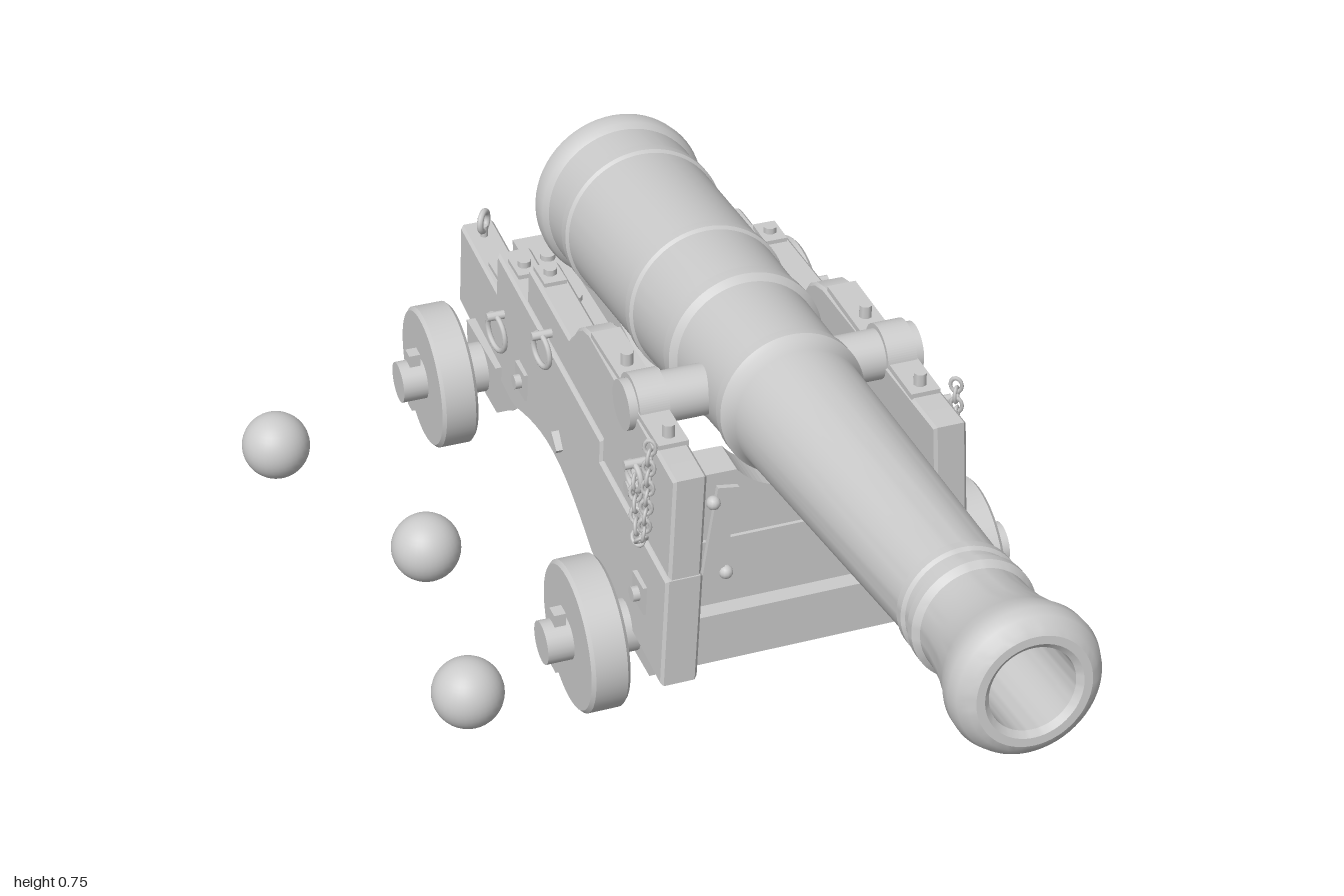
import * as THREE from 'three';
import { toCreasedNormals } from 'three/addons/utils/BufferGeometryUtils.js';

const grey = new THREE.MeshStandardMaterial({ color: 0xcccccc });
const V2 = (p) => new THREE.Vector2(p[0], p[1]);

function add(parent, name, geo, x = 0, y = 0, z = 0, rx = 0, ry = 0, rz = 0) {
  const m = new THREE.Mesh(geo, grey);
  m.name = name;
  m.position.set(x, y, z);
  m.rotation.set(rx, ry, rz);
  parent.add(m);
  return m;
}
const box = (w, h, d) => new THREE.BoxGeometry(w, h, d);
const rod = (r, len, n = 20) => new THREE.CylinderGeometry(r, r, len, n);
const rodX = (r, len, n) => rod(r, len, n).rotateZ(Math.PI / 2);
const ring = (r, t) => new THREE.TorusGeometry(r, t, 8, 24);
const lathe = (pts, n = 48) => toCreasedNormals(new THREE.LatheGeometry(pts.map(V2), n), 0.5);

// Inner face of a cheek: the pair converges to the rear and leans in at the top
const inner = (y, z) => 0.1895 + 0.0294 * z - 0.05 * (y - 0.35);
const outer = (y, z) => inner(y, z) + 0.062;

// Plank cut from a side outline in (z, y), then leaned and tapered
function cheek(side, outline, from, thick) {
  const shape = new THREE.Shape(outline.map(([z, y]) => new THREE.Vector2(-side * z, y)));
  const b = 0.005;
  const g = new THREE.ExtrudeGeometry(shape, {
    depth: thick - 2 * b, bevelThickness: b, bevelSize: b, bevelOffset: -b, bevelSegments: 1,
  });
  g.translate(0, 0, b + from).rotateY(side * Math.PI / 2);
  const p = g.attributes.position;
  for (let i = 0; i < p.count; i++) p.setX(i, p.getX(i) + side * inner(p.getY(i), p.getZ(i)));
  g.computeVertexNormals();
  return toCreasedNormals(g, 0.4);
}

function makeBarrel() {
  const gun = new THREE.Group();
  gun.name = 'barrel';
  // Breech, reinforces, chase, muzzle swell, then the bore
  const profile = [
    [0, -0.86], [0.03, -0.85], [0.032, -0.83], [0.055, -0.815], [0.095, -0.80], [0.125, -0.78], [0.138, -0.755],
    [0.15, -0.75], [0.152, -0.735], [0.148, -0.715], [0.14, -0.705], [0.139, -0.63], [0.143, -0.625], [0.143, -0.605],
    [0.138, -0.60], [0.134, -0.31], [0.138, -0.305], [0.138, -0.285], [0.133, -0.28], [0.129, -0.135],
    [0.133, -0.13], [0.133, -0.105], [0.122, -0.095], [0.117, 0.08], [0.122, 0.085], [0.122, 0.105], [0.115, 0.115],
    [0.110, 0.14], [0.089, 0.755], [0.095, 0.76], [0.095, 0.775], [0.090, 0.78], [0.090, 0.80],
    [0.097, 0.805], [0.097, 0.82], [0.088, 0.83], [0.089, 0.86], [0.095, 0.905], [0.106, 0.95], [0.115, 0.975],
    [0.116, 0.995], [0.110, 1.012], [0.097, 1.025], [0.088, 1.03], [0.075, 1.03], [0.066, 1.022], [0.065, 0.2], [0, 0.18],
  ];
  add(gun, 'gunTube', lathe(profile, 64).rotateX(Math.PI / 2));
  add(gun, 'trunnions', rodX(0.042, 0.5, 32));
  // Cascabel knob with the rope loop above it
  add(gun, 'cascabelNeck', rod(0.03, 0.08).rotateX(Math.PI / 2), 0, 0, -0.82);
  add(gun, 'cascabelKnob', new THREE.SphereGeometry(0.046, 32, 20), 0, -0.005, -0.868);
  add(gun, 'ropeLoop', new THREE.TorusGeometry(0.035, 0.013, 12, 32), 0, 0.058, -0.82, 0, Math.PI / 2);
  gun.position.set(0, 0.535, -0.035);
  gun.rotation.x = -0.108;
  return gun;
}

function makeAxle(z) {
  const axle = new THREE.Group();
  axle.name = 'axle';
  axle.position.set(0, 0.133, z);
  add(axle, 'axleTree', box(0.5, 0.094, 0.17));
  add(axle, 'axleArm', rodX(0.037, 0.81, 24));
  const wheel = lathe([[0.036, -0.033], [0.122, -0.033], [0.128, -0.027], [0.128, 0.027], [0.122, 0.033], [0.036, 0.033]])
    .rotateZ(Math.PI / 2);
  for (const s of [-1, 1]) {
    add(axle, 'wheel', wheel, s * 0.3275, 0, 0);
    add(axle, 'axleCollar', rodX(0.045, 0.05), s * 0.27);
    add(axle, 'linchpin', box(0.02, 0.115, 0.025), s * 0.376, 0, 0);
    for (const dz of [-0.055, 0.055])
      add(axle, 'axleBolt', rod(0.012, 0.02, 8), s * 0.215, -0.052, dz);
  }
  return axle;
}

// Hanging chain of alternating links on the outside of a cheek
function makeChain(s) {
  const chain = new THREE.Group();
  chain.name = 'chain';
  const path = new THREE.CatmullRomCurve3([[0.555, 0.12], [0.46, 0.118], [0.375, 0.105], [0.36, 0.085], [0.4, 0.07], [0.47, 0.055]]
    .map(([y, z]) => new THREE.Vector3(s * (outer(y, z) + 0.012), y, z)));
  const link = new THREE.TorusGeometry(0.0095, 0.0032, 6, 12).scale(1.35, 1, 1);
  const count = 17;
  for (let i = 0; i <= count; i++) {
    const p = path.getPointAt(i / count);
    const m = add(chain, 'chainLink', link, p.x, p.y, p.z);
    m.quaternion.setFromUnitVectors(new THREE.Vector3(1, 0, 0), path.getTangentAt(i / count));
    m.rotateX((i % 2) * Math.PI / 2 + 0.7);
  }
  return chain;
}

function makeSide(s) {
  const side = new THREE.Group();
  side.name = s > 0 ? 'leftCheek' : 'rightCheek';
  // Lower plank with the arched underside
  const lower = [[0.195, 0.145], [0.195, 0.348], [-0.155, 0.348], [-0.155, 0.388], [-0.765, 0.388], [-0.765, 0.312],
    [-0.998, 0.312], [-0.998, 0.155], [-0.66, 0.145]];
  for (let i = 0; i <= 12; i++) lower.push([-0.63 + i * 0.0375, 0.15 + 0.05 * Math.sin(i / 12 * Math.PI)]);
  lower.push([-0.15, 0.145]);
  add(side, 'lowerCheek', cheek(s, lower, 0, 0.062));
  // Upper plank with the rounded shoulder
  const upper = [[0.195, 0.35], [0.195, 0.535], [-0.25, 0.535], [-0.285, 0.525], [-0.315, 0.505], [-0.335, 0.48],
    [-0.355, 0.462], [-0.593, 0.46], [-0.593, 0.39], [-0.157, 0.39], [-0.157, 0.35]];
  add(side, 'upperCheek', cheek(s, upper, 0.003, 0.055));

  // Iron cap strap over the trunnion
  const strap = new THREE.Shape();
  strap.moveTo(0.05, 0);
  strap.absarc(0, 0, 0.05, 0, Math.PI, false);
  strap.lineTo(-0.042, 0);
  strap.absarc(0, 0, 0.042, Math.PI, 0, true);
  const strapGeo = new THREE.ExtrudeGeometry(strap, { depth: 0.05, bevelEnabled: false, curveSegments: 20 })
    .translate(0, 0, -0.025).rotateY(Math.PI / 2);
  add(side, 'capStrap', strapGeo, s * 0.21, 0.535, -0.035);
  for (const z of [0.055, -0.16]) {
    add(side, 'capPlate', box(0.05, 0.01, z > 0 ? 0.1 : 0.16), s * (inner(0.535, z) + 0.03), 0.538, z);
    add(side, 'capBolt', rod(0.011, 0.03, 8), s * (inner(0.535, z) + 0.03), 0.55, z + 0.025);
  }
  // Bolts and plates on the step tops
  for (const [y, z] of [[0.46, -0.55], [0.388, -0.7], [0.312, -0.82]]) {
    add(side, 'stepPlate', box(0.04, 0.01, 0.06), s * (inner(y, z) + 0.031), y + 0.003, z);
    add(side, 'stepBolt', rod(0.012, 0.022, 8), s * (inner(y, z) + 0.031), y + 0.008, z);
  }
  // Square washers with bolt heads on the outer face
  for (const [y, z] of [[0.42, 0.03], [0.25, 0.08], [0.235, -0.59]]) {
    add(side, 'washer', box(0.012, 0.052, 0.052), s * outer(y, z), y, z);
    add(side, 'boltHead', rodX(0.013, 0.035, 10), s * outer(y, z), y, z);
  }
  // Tackle rings on eyebolts
  for (const [y, z, r] of [[0.385, -0.45, 0.03], [0.26, -0.715, 0.034], [0.46, 0.055, 0.024]]) {
    const x = outer(y, z);
    add(side, 'eyebolt', rodX(0.008, 0.05, 10), s * (x + 0.005), y + r, z);
    add(side, 'tackleRing', ring(r, 0.005), s * (x + 0.013), y, z, 0, Math.PI / 2 - s * 0.15);
  }
  add(side, 'peg', box(0.025, 0.012, 0.035), s * outer(0.25, -0.37), 0.25, -0.37, 0.7);
  // Upright eye at the tail of the cheek
  const tailX = s * (inner(0.31, -0.95) + 0.031);
  add(side, 'tailEyeStem', rod(0.007, 0.03, 10), tailX, 0.318, -0.95);
  add(side, 'tailEye', ring(0.018, 0.006), tailX, 0.342, -0.95, 0, 0.9);
  side.add(makeChain(s));
  return side;
}

function makeBed() {
  const bed = new THREE.Group();
  bed.name = 'carriageBed';
  // Front transom, hollowed under the barrel
  const board = new THREE.Shape();
  board.moveTo(-0.207, 0.2);
  board.lineTo(0.207, 0.2);
  board.lineTo(0.2, 0.325);
  board.lineTo(-0.2, 0.325);
  const top = new THREE.Shape();
  top.moveTo(-0.2, 0.33);
  top.lineTo(0.2, 0.33);
  top.lineTo(0.185, 0.455);
  top.lineTo(0.09, 0.455);
  top.absarc(0, 0.53, 0.125, -0.65, -Math.PI + 0.65, true);
  top.lineTo(-0.185, 0.455);
  const opts = { depth: 0.07, bevelEnabled: false };
  add(bed, 'lowerTransom', new THREE.ExtrudeGeometry(board, opts), 0, 0, 0.015);
  add(bed, 'upperTransom', new THREE.ExtrudeGeometry(top, opts), 0, 0, 0.015);
  for (const s of [-1, 1]) {
    add(bed, 'transomStrap', box(0.036, 0.19, 0.012), s * 0.131, 0.335, 0.088, 0, 0, s * 0.155);
    for (const dy of [-0.07, 0.07])
      add(bed, 'strapBolt', new THREE.SphereGeometry(0.012, 12, 8), s * (0.131 - dy * -0.155), 0.335 + dy, 0.093);
  }
  add(bed, 'axleCap', box(0.39, 0.024, 0.12), 0, 0.19, 0);
  // Rear stool bed, cross beam and tie rods
  add(bed, 'stoolBed', box(0.265, 0.045, 0.58), 0, 0.25, -0.69);
  add(bed, 'rearBeam', box(0.33, 0.05, 0.17), 0, 0.203, -0.805);
  for (const s of [-1, 1])
    for (const z of [-0.9, -0.75])
      add(bed, 'bedBolt', rod(0.014, 0.015, 10), s * 0.092, 0.275, z);
  for (const [y, z] of [[0.22, -0.25], [0.24, -0.56], [0.2, -0.95]]) add(bed, 'tieRod', rodX(0.013, 0.42, 12), 0, y, z);
  // Elevating wedge with a turned handle
  const wedge = new THREE.Shape([[0.45, 0.272], [0.89, 0.272], [0.89, 0.352], [0.45, 0.29]].map(V2));
  add(bed, 'wedge', new THREE.ExtrudeGeometry(wedge, { depth: 0.12, bevelEnabled: false })
    .translate(0, 0, -0.06).rotateY(Math.PI / 2));
  add(bed, 'wedgeHandle', lathe([[0, -0.985], [0.015, -0.98], [0.024, -0.965], [0.02, -0.945], [0.012, -0.925], [0.016, -0.88]], 20)
    .rotateX(Math.PI / 2), 0, 0.312, 0);
  return bed;
}

export function createModel() {
  const model = new THREE.Group();
  model.name = 'shipCannon';
  const cannon = new THREE.Group();
  cannon.name = 'cannon';
  cannon.position.x = 0.145;
  cannon.add(makeBarrel(), makeBed(), makeAxle(0.005), makeAxle(-0.807), makeSide(1), makeSide(-1));
  model.add(cannon);
  // Loose shot beside the carriage
  const shot = new THREE.SphereGeometry(0.06, 32, 20);
  for (const [x, z] of [[-0.493, -0.79], [-0.333, -0.405], [-0.386, 0.003]]) add(model, 'cannonball', shot, x, 0.064, z);
  return model;
}
